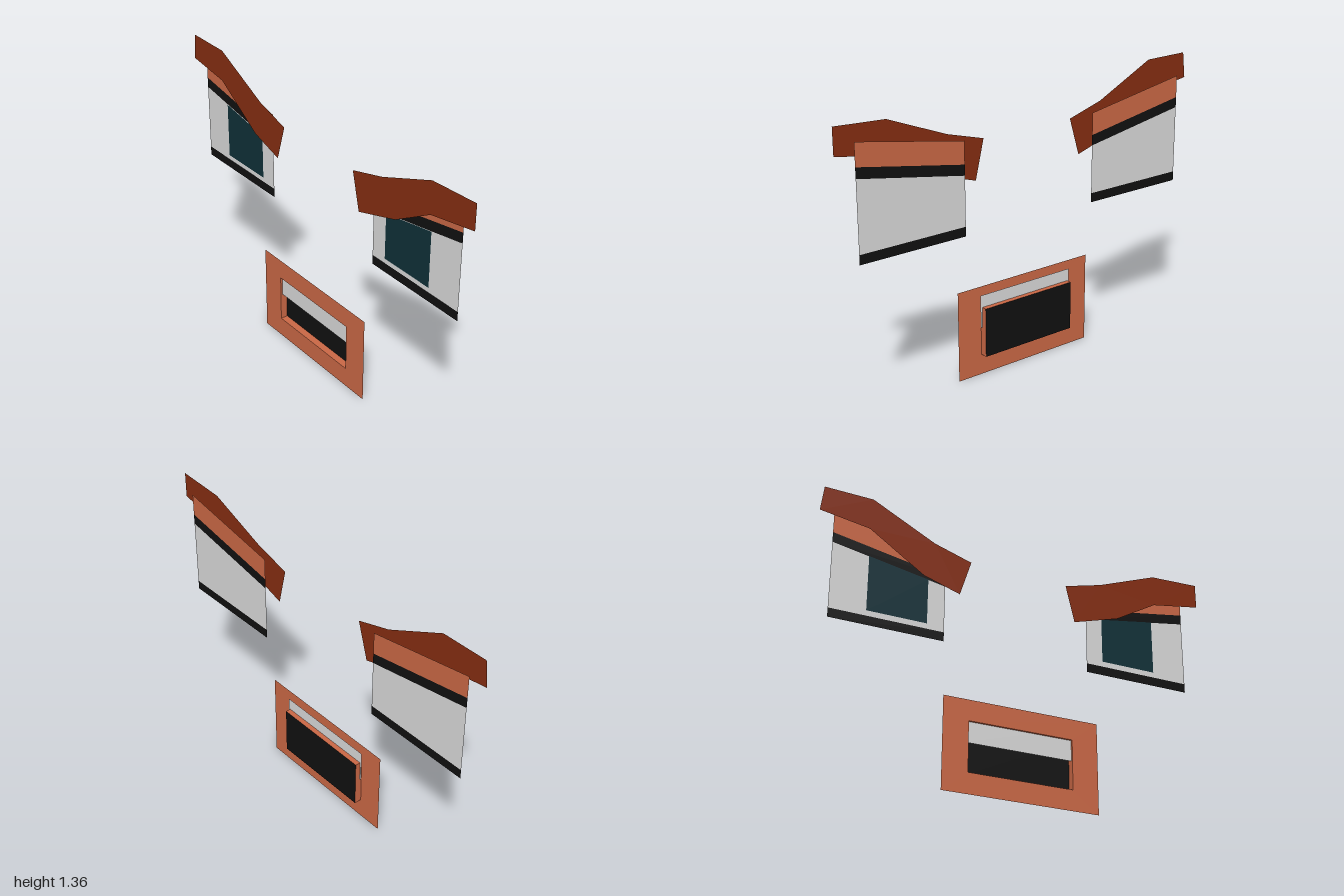
import * as THREE from 'three';

const mat = (name, color) => {
  const m = new THREE.MeshStandardMaterial({ color, side: THREE.DoubleSide });
  m.name = name;
  return m;
};

export function createModel() {
  const skin = mat('terracotta', 0xc96745);
  const hair = mat('rust brown', 0x842d11);
  const white = mat('pale grey', 0xd8d8d8);
  const black = mat('black', 0x101010);
  const teal = mat('dark teal', 0x0f3038);

  const model = new THREE.Group();
  model.name = 'face';

  // Flat plate from an outline, with an optional hole
  const plate = (name, points, z, material, parent = model, hole) => {
    const toV = (p) => new THREE.Vector2(p[0], p[1]);
    const shape = new THREE.Shape(points.map(toV));
    if (hole) shape.holes.push(new THREE.Path(hole.map(toV)));
    const mesh = new THREE.Mesh(new THREE.ShapeGeometry(shape), material);
    mesh.name = name;
    mesh.position.z = z;
    parent.add(mesh);
    return mesh;
  };
  const rect = (x0, x1, y0, y1) => [[x0, y0], [x1, y0], [x1, y1], [x0, y1]];

  // Eyes: stacked bands whose upper edges slope down towards the middle
  const eyes = [
    { name: 'leftEye', inner: 0.365, outer: 0.915, iris: [0.45, 0.735] },
    { name: 'rightEye', inner: -0.375, outer: -0.925, iris: [-0.46, -0.75] },
  ];
  for (const { name, inner, outer, iris } of eyes) {
    const eye = new THREE.Group();
    eye.name = name;
    model.add(eye);
    const slope = (x) => 1.005 + 0.095 * (x - inner) / (outer - inner);
    const band = (part, a, b, low, high, z, material) => plate(part,
      [[a, low(a)], [b, low(b)], [b, high(b)], [a, high(a)]], z, material, eye);
    const flat = (y) => () => y;
    const raised = (d) => (x) => slope(x) + d;
    band('lowerLashes', inner, outer, flat(0.725), flat(0.77), -0.025, black);
    band('eyeWhite', inner, outer, flat(0.77), slope, -0.025, white);
    band('upperLashes', inner, outer, slope, raised(0.05), -0.025, black);
    band('eyelid', inner, outer, raised(0.05), raised(0.157), -0.025, skin);
    band('iris', iris[0], iris[1], flat(0.795), slope, -0.022, teal);
  }

  // Eyebrows
  plate('rightEyebrow', [[-0.985, 1.36], [-0.75, 1.357], [-0.44, 1.205], [-0.255, 1.15],
    [-0.31, 0.97], [-0.49, 1.025], [-0.76, 1.2], [-1, 1.235]], -0.003, hair);
  plate('leftEyebrow', [[0.245, 1.147], [0.44, 1.2], [0.745, 1.318], [1, 1.33],
    [1, 1.205], [0.745, 1.16], [0.53, 1.035], [0.29, 0.962]], -0.003, hair);

  // Mouth: lips with an opening, a shallow cavity behind, and upper teeth
  const mouth = new THREE.Group();
  mouth.name = 'mouth';
  model.add(mouth);
  const [x0, x1, y0, y1, front, back] = [-0.265, 0.25, 0.1, 0.34, 0.025, -0.011];
  const opening = rect(x0, x1, y0, y1);
  plate('lips', rect(-0.39, 0.38, 0, 0.44), front, skin, mouth, opening);
  plate('mouthBack', opening, back, black, mouth);
  plate('upperTeeth', rect(-0.274, 0.259, 0.24, 0.4), 0.015, white, mouth);

  // Cavity walls around the opening
  opening.forEach(([ax, ay], i) => {
    const [bx, by] = opening[(i + 1) % 4];
    const wall = new THREE.Mesh(
      new THREE.PlaneGeometry(Math.hypot(bx - ax, by - ay), front - back), skin);
    wall.name = 'mouthWall';
    wall.rotation.set(Math.PI / 2, 0, 0);
    if (ax === bx) wall.rotation.set(Math.PI / 2, Math.PI / 2, 0);
    wall.position.set((ax + bx) / 2, (ay + by) / 2, (front + back) / 2);
    mouth.add(wall);
  });

  return model;
}
